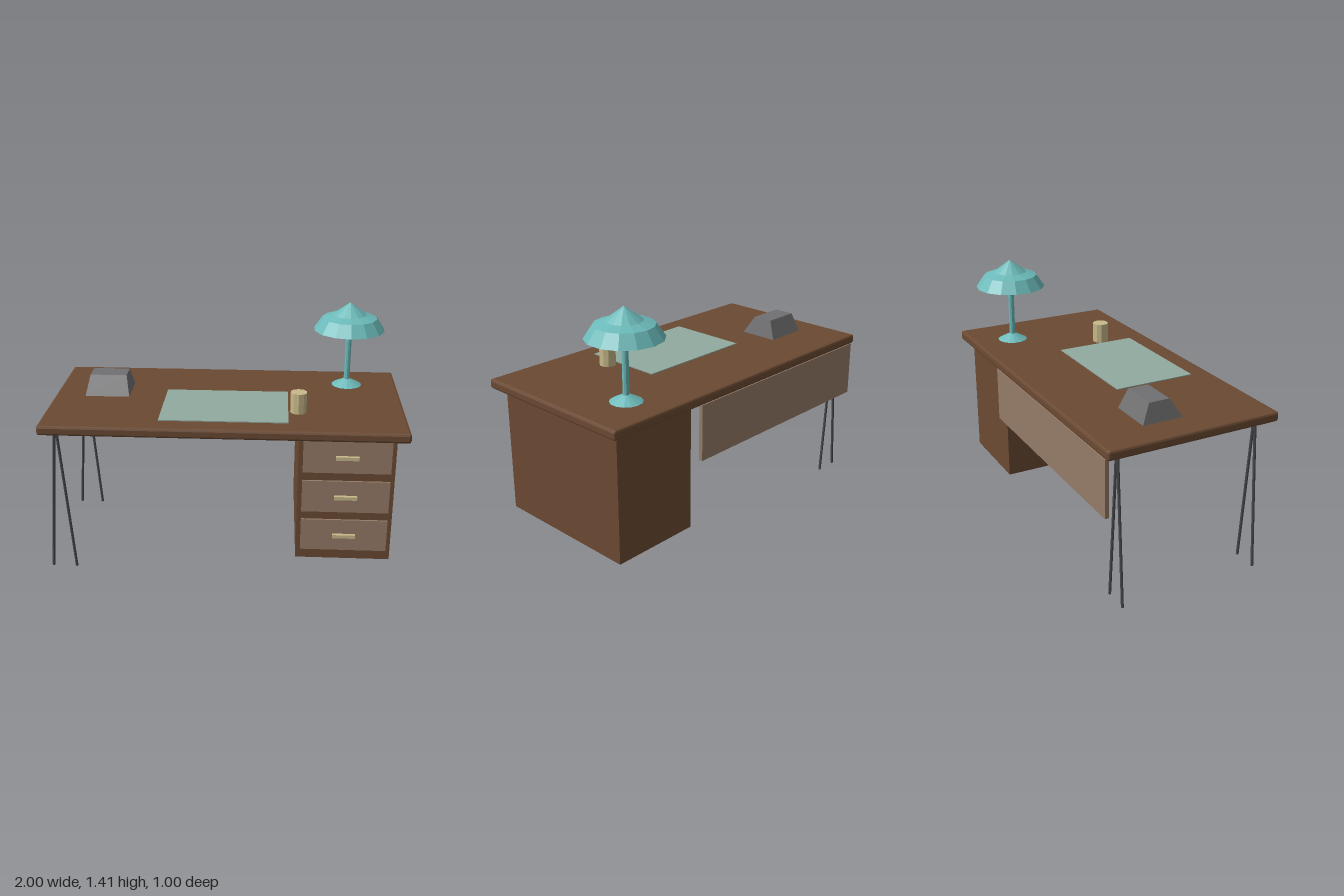
import * as THREE from 'three';
import { RoundedBoxGeometry } from 'three/addons/geometries/RoundedBoxGeometry.js';

const material = (name, color) => {
  const m = new THREE.MeshStandardMaterial({ color, flatShading: true });
  m.name = name;
  return m;
};

export function createModel() {
  const walnut = material('walnut', 0x6b4a33);
  const paleWood = material('paleWood', 0x957b67);
  const brass = material('brass', 0xc8b98a);
  const teal = material('teal', 0x6cbaba);
  const sage = material('sage', 0x91aa9f);
  const grey = material('grey', 0x707072);
  const steel = material('steel', 0x45474a);

  const desk = new THREE.Group();
  desk.name = 'desk';

  const add = (name, geometry, mat, x = 0, y = 0, z = 0, parent = desk) => {
    const mesh = new THREE.Mesh(geometry, mat);
    mesh.name = name;
    mesh.position.set(x, y, z);
    parent.add(mesh);
    return mesh;
  };
  // Box given by its lower and upper limits on each axis
  const box = (name, mat, [x0, x1], [y0, y1], [z0, z1], parent) =>
    add(name, new THREE.BoxGeometry(x1 - x0, y1 - y0, z1 - z0), mat,
      (x0 + x1) / 2, (y0 + y1) / 2, (z0 + z1) / 2, parent);

  // Table top, drawer cabinet and back panel
  add('tableTop', new RoundedBoxGeometry(2, 0.055, 1, 1, 0.013), walnut, 0, 0.882, 0);
  box('cabinet', walnut, [0.41, 0.935], [0.122, 0.856], [-0.44, 0.442]);
  box('backPanel', paleWood, [-0.97, 0.385], [0.535, 0.856], [-0.5, -0.477]);

  // Three drawers, each with a bar handle
  for (const y of [0.274, 0.511, 0.748]) {
    const drawer = new THREE.Group();
    drawer.name = 'drawer';
    desk.add(drawer);
    box('drawerFront', paleWood, [0.435, 0.912], [y - 0.094, y + 0.094], [0.44, 0.453], drawer);
    box('drawerHandle', brass, [0.611, 0.736], [y - 0.011, y + 0.009], [0.45, 0.472], drawer);
  }

  // Hairpin legs: two straight rods meeting under the top
  const up = new THREE.Vector3(0, 1, 0);
  for (const z of [-0.407, 0.407]) {
    const leg = new THREE.Group();
    leg.name = 'hairpinLeg';
    desk.add(leg);
    for (const side of [-1, 1]) {
      const foot = new THREE.Vector3(-0.919 + side * 0.068, 0, z);
      const head = new THREE.Vector3(-0.919 + side * 0.005, 0.86, z);
      const span = head.clone().sub(foot);
      const rod = add('legRod', new THREE.CylinderGeometry(0.008, 0.008, span.length(), 8), steel, 0, 0, 0, leg);
      rod.position.copy(foot).add(head).multiplyScalar(0.5);
      rod.quaternion.setFromUnitVectors(up, span.normalize());
    }
  }

  // Desk lamp: foot, pole and closed two-step shade
  const lamp = new THREE.Group();
  lamp.name = 'lamp';
  lamp.position.set(0.703, 0.909, -0.264);
  desk.add(lamp);
  add('lampFoot', new THREE.CylinderGeometry(0.02, 0.09, 0.037, 14), teal, 0, 0.0185, 0, lamp);
  add('lampPole', new THREE.CylinderGeometry(0.018, 0.018, 0.36, 10), teal, 0, 0.18, 0, lamp);
  const shade = [[0, 0.342], [0.208, 0.342], [0.16, 0.413], [0.098, 0.432], [0, 0.505]]
    .map(([r, y]) => new THREE.Vector2(r, y));
  add('lampShade', new THREE.LatheGeometry(shade, 14), teal, 0, 0, 0, lamp);

  // Writing pad and pencil cup
  box('writingPad', sage, [-0.355, 0.352], [0.908, 0.915], [-0.094, 0.382]);
  add('pencilCup', new THREE.CylinderGeometry(0.047, 0.047, 0.118, 10), brass, 0.408, 0.967, 0.205);

  // Tapered block: the upper corners are drawn in, more at the front
  const taper = new THREE.BoxGeometry(0.256, 0.108, 0.234);
  const p = taper.attributes.position;
  for (let i = 0; i < p.count; i++) {
    if (p.getY(i) < 0) continue;
    p.setX(i, Math.sign(p.getX(i)) * 0.106);
    p.setZ(i, p.getZ(i) > 0 ? 0.048 : -0.072);
  }
  taper.computeVertexNormals();
  add('taperedBlock', taper, grey, -0.695, 0.963, -0.09);

  return desk;
}
